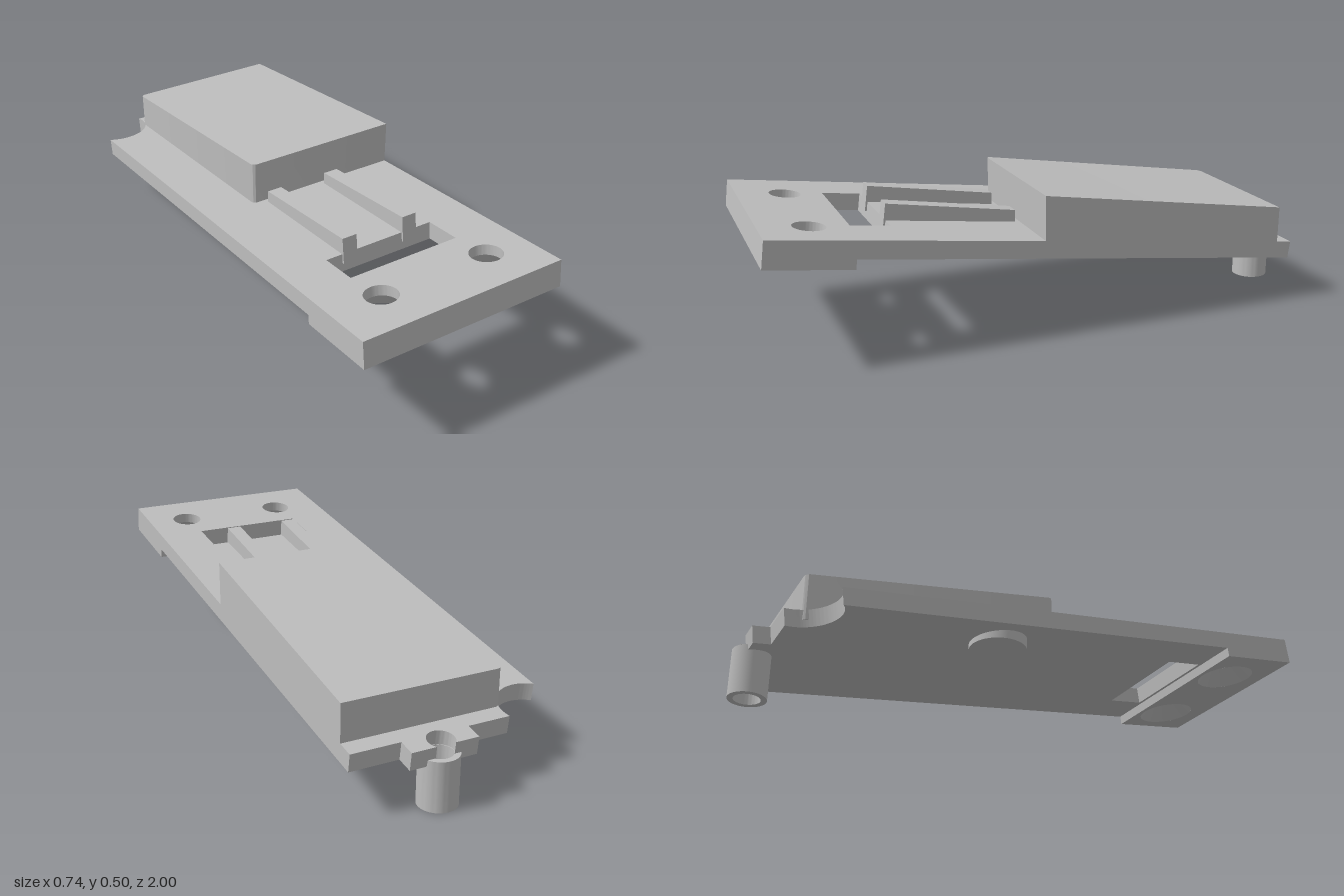
import * as THREE from 'three';
import { toCreasedNormals } from 'three/addons/utils/BufferGeometryUtils.js';

export function createModel() {
  const model = new THREE.Group();
  const grey = new THREE.MeshStandardMaterial({ color: 0xbebebe });
  grey.name = 'grey';

  const add = (parent, name, geometry) => {
    const mesh = new THREE.Mesh(toCreasedNormals(geometry, 0.5), grey);
    mesh.name = name;
    parent.add(mesh);
    return mesh;
  };
  // Extrudes a plan (x, -z) upward between two heights
  const slab = (shape, low, high) =>
    new THREE.ExtrudeGeometry(shape, { depth: high - low, bevelEnabled: false, curveSegments: 32 })
      .rotateX(-Math.PI / 2).translate(0, low, 0);
  const circle = (x, y, r) => new THREE.Path().absarc(x, y, r, 0, Math.PI * 2, true);
  const rect = (x0, y0, x1, y1, T = THREE.Shape) => new T([
    [x0, y0], [x1, y0], [x1, y1], [x0, y1], [x0, y0],
  ].map(([x, y]) => new THREE.Vector2(x, y)));
  const lathe = (points) =>
    new THREE.LatheGeometry(points.map(([r, y]) => new THREE.Vector2(r, y)), 48);

  const half = 0.368, step = 0.7116, front = 1.004, thick = 0.062, low = -0.033;

  // Everything in this group lies along the sloping plate
  const sloped = new THREE.Group();
  sloped.name = 'slopedPlate';
  sloped.position.y = 0.2735;
  sloped.rotation.x = -Math.atan(0.13);
  model.add(sloped);

  // Main plate: corner bite, end tab with an open pin notch, and a window
  const plan = new THREE.Shape();
  plan.moveTo(-half, -step);
  plan.lineTo(-half, 0.78);
  plan.absarc(-0.3, 0.879, 0.12, Math.atan2(-0.099, -0.068), Math.atan2(0.031, 0.116), false);
  plan.lineTo(-0.034, 0.91);
  plan.lineTo(-0.034, 0.97);
  plan.absarc(0.08, 0.939, 0.045, Math.atan2(0.031, -0.0326), Math.atan2(0.031, 0.0326) + Math.PI * 2, false);
  plan.lineTo(0.198, 0.97);
  plan.lineTo(0.198, 0.91);
  plan.lineTo(half, 0.91);
  plan.lineTo(half, -step);
  plan.closePath();
  plan.holes.push(rect(-0.203, -0.699, 0.203, -0.563, THREE.Path));
  add(sloped, 'mainPlate', slab(plan, 0, thick));

  // Thicker front lip with two countersunk screw holes
  const screwX = [-0.185, 0.215], screwZ = 0.834, sinkTop = 0.025;
  const lip = (r) => {
    const shape = rect(-half, -front, half, -step);
    screwX.forEach((x) => shape.holes.push(circle(x, -screwZ, r)));
    return shape;
  };
  add(sloped, 'frontLipLower', slab(lip(0.105), low, sinkTop));
  add(sloped, 'frontLipUpper', slab(lip(0.055), sinkTop, thick));
  for (const x of screwX) {
    add(sloped, 'countersink', lathe([[0.055, sinkTop], [0.105, low]]).translate(x, 0, screwZ));
  }

  // Raised block: upright walls, two rounded corners, sloping top
  const r = 0.018, x0 = -0.19, z0 = -0.068, z1 = 0.852;
  const foot = new THREE.Shape();
  foot.moveTo(half, z0);
  foot.lineTo(half, z1);
  foot.lineTo(x0 + r, z1);
  foot.absarc(x0 + r, z1 - r, r, Math.PI / 2, Math.PI, false);
  foot.lineTo(x0, z0 + r);
  foot.absarc(x0 + r, z0 + r, r, Math.PI, Math.PI * 1.5, false);
  foot.closePath();
  const block = slab(foot, 0, 1);
  const p = block.attributes.position;
  for (let i = 0; i < p.count; i++) {
    const z = p.getZ(i);
    p.setY(i, p.getY(i) > 0.5 ? 0.489 + 0.158 * z : 0.3 + 0.13 * z);
  }
  add(model, 'raisedBlock', block);

  // Two wedge ribs ending at the window
  const ribSide = new THREE.Shape([
    [-0.087, 0.315], [-0.561, 0.376], [-0.549, 0.466], [-0.087, 0.39],
  ].map(([x, y]) => new THREE.Vector2(x, y)));
  for (const x of [-0.143, 0.089]) {
    add(model, 'rib', new THREE.ExtrudeGeometry(ribSide, { depth: 0.053, bevelEnabled: false })
      .rotateY(Math.PI / 2).translate(x, 0, 0));
  }

  // Hollow upright pin under the end tab
  add(model, 'hollowPin', lathe([[0.045, 0], [0.065, 0], [0.065, 0.17], [0.045, 0.17], [0.045, 0]])
    .translate(0.082, 0, -0.935));

  // Round pad under the plate
  add(model, 'roundPad', new THREE.CylinderGeometry(0.1, 0.1, 0.05, 48).translate(-0.22, 0.244, -0.17));

  return model;
}
